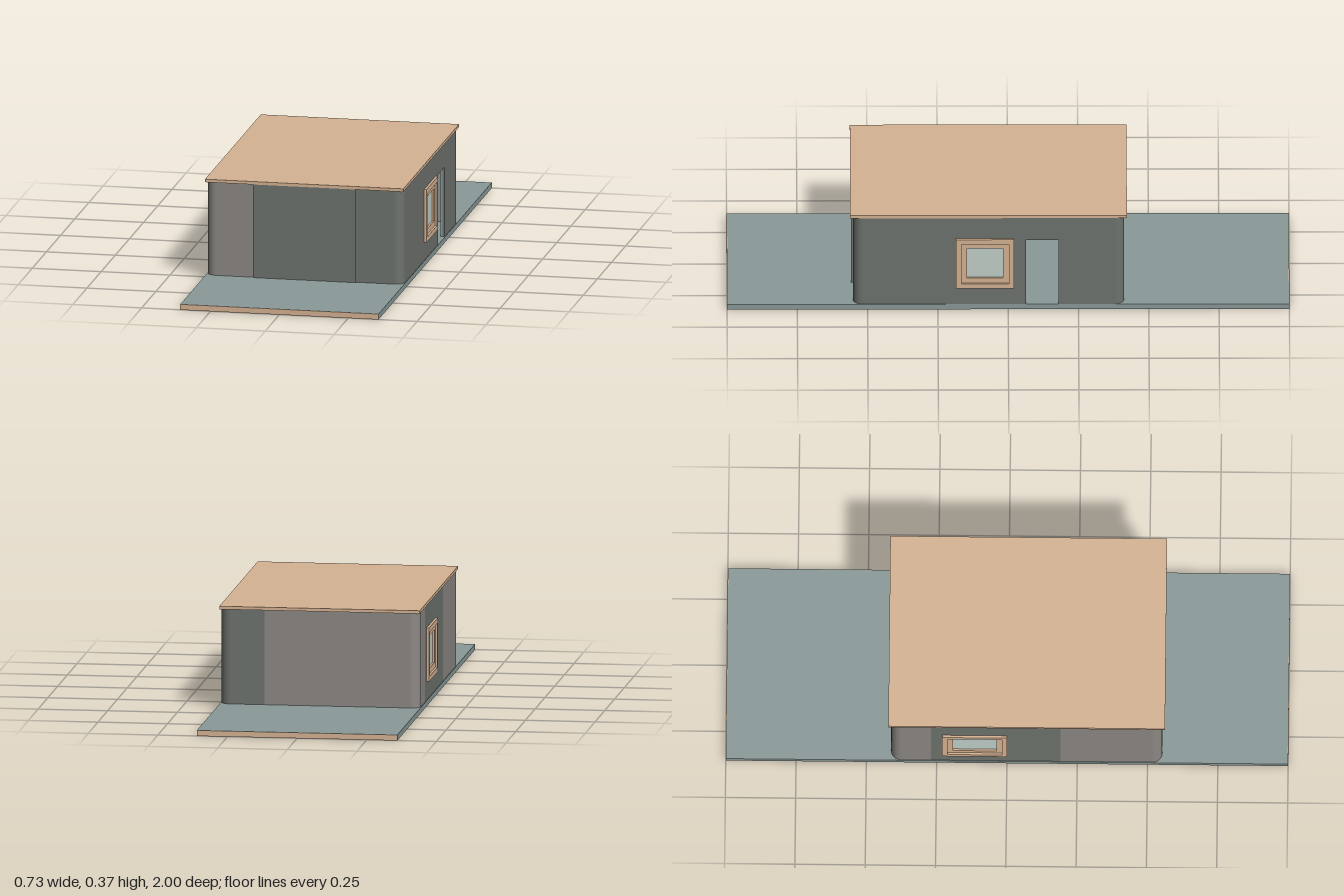
import * as THREE from 'three';

const mat = (color) => new THREE.MeshStandardMaterial({ color, side: THREE.DoubleSide });
const tan = mat(0xd6b393), teal = mat(0x8a9a98), stone = mat(0x6e736e), warm = mat(0x8c8884), glass = mat(0xc2d0ca);

const FLOOR = 0.02, TOP = 0.362;       // wall bottom and top
const X = 0.358, ZF = 0.552, ZB = -0.412; // outer wall faces
const R = 0.035, T = 0.008;            // corner radius, thickness of one wall layer

function box(parent, name, material, x0, x1, y0, y1, z0, z1) {
  const mesh = new THREE.Mesh(new THREE.BoxGeometry(x1 - x0, y1 - y0, z1 - z0), material);
  mesh.position.set((x0 + x1) / 2, (y0 + y1) / 2, (z0 + z1) / 2);
  mesh.name = name;
  parent.add(mesh);
  return mesh;
}

function rectPath(a, b, y0, y1) {
  return new THREE.Path([[a, y0], [a, y1], [b, y1], [b, y0]].map((p) => new THREE.Vector2(...p)));
}

// Upright slab from a to b, with an optional window hole and door notch
function panelGeometry(a, b, depth, { window, door } = {}) {
  const pts = [[a, FLOOR]];
  if (door) pts.push([door[0], FLOOR], [door[0], door[2]], [door[1], door[2]], [door[1], FLOOR]);
  pts.push([b, FLOOR], [b, TOP], [a, TOP]);
  const shape = new THREE.Shape(pts.map((p) => new THREE.Vector2(...p)));
  if (window) shape.holes.push(rectPath(...window));
  return new THREE.ExtrudeGeometry(shape, { depth, bevelEnabled: false });
}

// Wall panel on one side of the house: 'front', 'back', 'left' (+x) or 'right' (-x)
function wall(parent, name, side, material, a, b, openings, inset = 0, depth = T) {
  const mesh = new THREE.Mesh(panelGeometry(a, b, depth, openings), material);
  if (side === 'front') mesh.position.z = ZF - inset - depth;
  if (side === 'back') mesh.position.z = ZB + inset;
  if (side === 'left') mesh.position.x = X - inset;
  if (side === 'right') mesh.position.x = -X + inset + depth;
  if (side === 'left' || side === 'right') mesh.rotation.y = -Math.PI / 2;
  mesh.name = name;
  parent.add(mesh);
}

// Stepped window: proud outer frame, set-back inner frame and a pane
function windowUnit(name, sign, [z0, z1, y0, y1]) {
  const unit = new THREE.Group();
  unit.name = name;
  const frame = (part, inset, width, x0, x1) => {
    const shape = new THREE.Shape(rectPath(z0 + inset, z1 - inset, y0 + inset, y1 - inset).getPoints());
    const i = inset + width;
    shape.holes.push(rectPath(z0 + i, z1 - i, y0 + i, y1 - i));
    const mesh = new THREE.Mesh(new THREE.ExtrudeGeometry(shape, { depth: x1 - x0, bevelEnabled: false }), tan);
    mesh.rotation.y = -Math.PI / 2;
    mesh.position.x = sign > 0 ? x1 : -x0;
    mesh.name = part;
    unit.add(mesh);
  };
  frame('outerFrame', 0, 0.018, X - 2 * T - 0.004, 0.367);
  frame('innerFrame', 0.018, 0.02, X - 2 * T, 0.359);
  const i = 0.036, xc = sign * (X - T);
  box(unit, 'windowPane', glass, xc - 0.002, xc + 0.002, y0 + i, y1 - i, z0 + i, z1 - i);
  return unit;
}

export function createModel() {
  const house = new THREE.Group();
  house.name = 'house';

  // Ground slab with pale end strips
  box(house, 'groundSlab', teal, -0.36, 0.36, 0, FLOOR, -0.998, 0.998);
  for (const s of [-1, 1]) box(house, 'slabEnd', tan, -0.36, 0.36, 0, FLOOR, s * 0.999 - 0.001, s * 0.999 + 0.001);

  // Roof plate
  box(house, 'roof', tan, -0.36, 0.36, TOP, 0.373, -0.422, 0.562);

  // Openings, given along z then y
  const leftWindow = [-0.02, 0.185, 0.086, 0.28];
  const rightWindow = [-0.23, 0.0, 0.086, 0.28];
  const door = [-0.178, -0.064, 0.275];

  // Outer wall panels
  const walls = new THREE.Group();
  walls.name = 'walls';
  house.add(walls);
  const xa = -X + R, xb = X - R, za = ZB + R, zb = ZF - R;
  wall(walls, 'frontWarmPanel', 'front', warm, xa, -0.187);
  wall(walls, 'frontCentrePanel', 'front', stone, -0.187, 0.185, {}, -0.006, T + 0.006);
  wall(walls, 'frontSidePanel', 'front', stone, 0.185, xb);
  wall(walls, 'backWarmPanel', 'back', warm, xa, 0.2);
  wall(walls, 'backSidePanel', 'back', stone, 0.2, xb);
  wall(walls, 'leftWall', 'left', stone, za, zb, { window: leftWindow, door });
  wall(walls, 'rightBackPanel', 'right', warm, za, -0.27);
  wall(walls, 'rightCentrePanel', 'right', stone, -0.27, 0.19, { window: rightWindow });
  wall(walls, 'rightFrontPanel', 'right', warm, 0.19, zb);

  // Inner wall lining
  wall(walls, 'frontLining', 'front', teal, xa, xb, {}, T);
  wall(walls, 'backLining', 'back', teal, xa, xb, {}, T);
  wall(walls, 'leftLining', 'left', teal, za, zb, { window: leftWindow, door }, T);
  wall(walls, 'rightLining', 'right', teal, za, zb, { window: rightWindow }, T);

  // Rounded corners, turning from front left to front right
  [[xb, zb, stone], [xb, za, stone], [xa, za, warm], [xa, zb, warm]].forEach(([x, z, m], i) => {
    const geo = new THREE.CylinderGeometry(R, R, TOP - FLOOR, 12, 1, true, i * Math.PI / 2, Math.PI / 2);
    const corner = new THREE.Mesh(geo, m);
    corner.position.set(x, (TOP + FLOOR) / 2, z);
    corner.name = 'roundedCorner';
    walls.add(corner);
  });

  house.add(windowUnit('leftWindow', 1, leftWindow), windowUnit('rightWindow', -1, rightWindow));
  return house;
}
